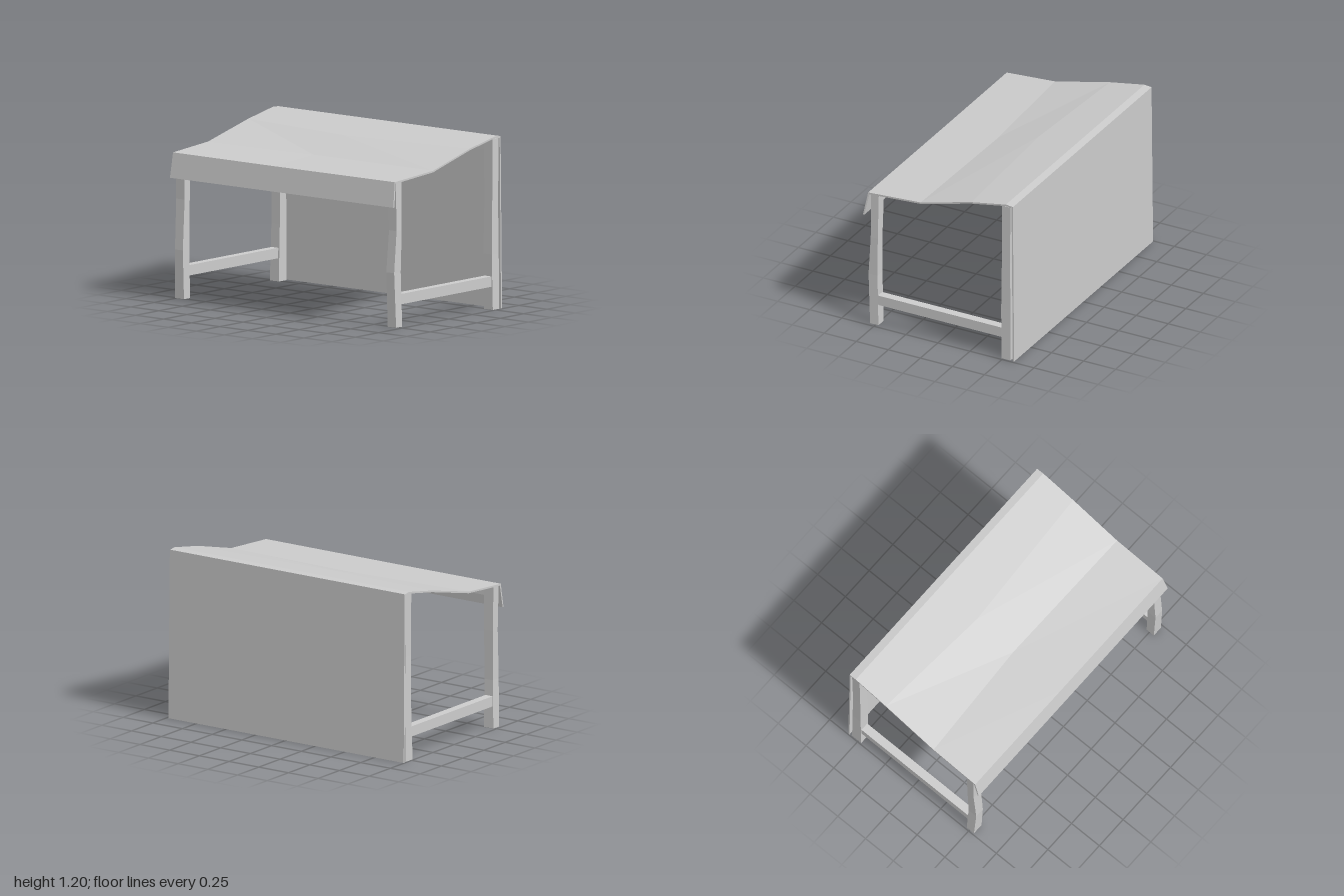
import * as THREE from 'three';

// Skin a stack of equal rings, closing both ends with strips of quads.
function loft(rings) {
  const n = rings[0].length, pos = [];
  const quad = (a, b, c, d) => [a, b, c, a, c, d].forEach((p) => pos.push(...p));
  for (let k = 0; k < rings.length - 1; k++) {
    const r = rings[k], s = rings[k + 1];
    for (let i = 0; i < n; i++) {
      const j = (i + 1) % n;
      quad(r[i], r[j], s[j], s[i]);
    }
  }
  const first = rings[0], last = rings[rings.length - 1];
  for (let i = 0; i < n / 2 - 1; i++) {
    quad(first[n - 1 - i], first[n - 2 - i], first[i + 1], first[i]);
    quad(last[i], last[i + 1], last[n - 2 - i], last[n - 1 - i]);
  }
  const g = new THREE.BufferGeometry();
  g.setAttribute('position', new THREE.Float32BufferAttribute(pos, 3));
  g.computeVertexNormals();
  return g;
}

// Rectangular ring at height y
const rect = ([y, x0, x1, z0, z1]) => [[x0, y, z1], [x1, y, z1], [x1, y, z0], [x0, y, z0]];

export function createModel() {
  const model = new THREE.Group();
  model.name = 'marketStall';
  const mat = new THREE.MeshStandardMaterial({ color: 0xcccccc, flatShading: true });
  const add = (name, geometry) => {
    const mesh = new THREE.Mesh(geometry, mat);
    mesh.name = name;
    model.add(mesh);
    return mesh;
  };
  const box = (name, x0, x1, y0, y1, z0, z1) =>
    add(name, new THREE.BoxGeometry(x1 - x0, y1 - y0, z1 - z0))
      .position.set((x0 + x1) / 2, (y0 + y1) / 2, (z0 + z1) / 2);

  // Rough-hewn posts: each level is y, x0, x1, z0, z1
  add('frontLeftLeg', loft([
    [0.01, 0.905, 0.98, 0.475, 0.54], [0.39, 0.905, 0.975, 0.485, 0.555],
    [0.68, 0.913, 0.98, 0.48, 0.535], [1.015, 0.9, 0.975, 0.475, 0.537],
  ].map(rect)));
  add('frontRightLeg', loft([
    [0.01, -0.99, -0.91, 0.475, 0.54], [0.35, -0.98, -0.91, 0.483, 0.552],
    [0.7, -0.985, -0.91, 0.478, 0.533], [1.015, -0.99, -0.91, 0.475, 0.537],
  ].map(rect)));
  add('backLeftLeg', loft([
    [0.005, 0.905, 0.985, -0.557, -0.488], [0.39, 0.905, 0.98, -0.557, -0.483],
    [0.75, 0.91, 0.98, -0.55, -0.488], [1.19, 0.905, 0.98, -0.557, -0.49],
  ].map(rect)));
  add('backRightLeg', loft([
    [0.005, -0.99, -0.91, -0.557, -0.475], [0.4, -0.985, -0.91, -0.557, -0.485],
    [0.75, -0.985, -0.912, -0.553, -0.488], [1.19, -0.99, -0.91, -0.557, -0.49],
  ].map(rect)));

  // Low side rails and the beams under the cloth
  for (const [side, x] of [['left', 0.945], ['right', -0.95]]) {
    box(side + 'Rail', x - 0.03, x + 0.03, 0.165, 0.237, -0.487, 0.482);
  }
  box('frontBeam', -0.91, 0.905, 0.945, 1.005, 0.482, 0.532);
  box('backBeam', -0.91, 0.905, 1.11, 1.17, -0.55, -0.495);

  // Canopy with front valance: outer profile back to front, then the underside
  const canopyRing = ([x, xHem, rear, front, sag]) => {
    const outer = [
      [x, 1.2, -0.575], [x, 1.205, -0.52], [x, 1.143 - (rear + 0.19) * 0.19, rear],
      [x, 1.05 - sag, front], [x, 1.022 - sag / 2, 0.555], [xHem, 0.85, 0.588],
    ];
    const inner = outer.map(([px, y, z], i) =>
      i === 5 ? [px, y, z - 0.011] : [px, y - 0.012, i === 4 ? z - 0.01 : z]);
    return [...outer, ...inner.reverse()];
  };
  add('canopy', loft([
    [-0.995, -0.995, -0.25, 0.18, 0], [-0.1, -0.1, -0.19, 0.132, 0.003], [0.98, 0.995, -0.25, 0.145, 0],
  ].map(canopyRing)));

  // Hanging back cloth
  add('backPanel', loft([
    [0.005, -0.995, 0.985, -0.587, -0.576], [1.197, -0.995, 0.982, -0.575, -0.565],
  ].map(rect)));

  return model;
}
